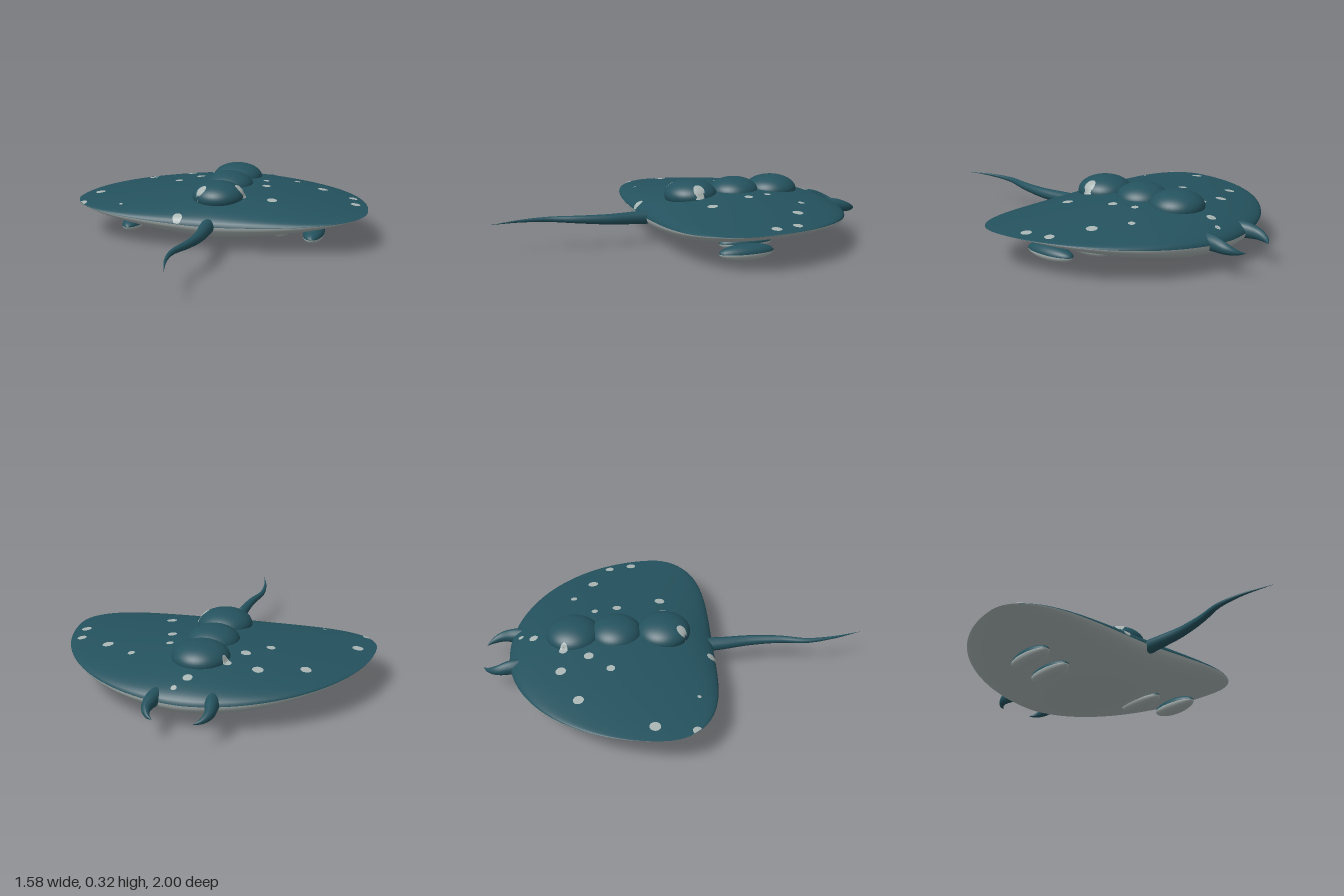
import * as THREE from 'three';

const teal = new THREE.MeshStandardMaterial({ color: 0x24525e, name: 'teal skin' });
const pale = new THREE.MeshStandardMaterial({ color: 0xa9b5b3, name: 'pale grey' });

const SPAN = 0.79;
const BUMPS = [[-0.06, 0.14], [-0.31, 0.135], [-0.53, 0.14]]; // z, radius
const BUMP_Y = 0.245, BUMP_H = 0.078;

// Cross-section of the disc at a given x: half an ellipse above and below the rim
function section(x) {
  const u = Math.min(Math.abs(x) / SPAN, 0.9999);
  const front = -0.09 + 0.29 * Math.sqrt(1 - u ** 4);
  const back = -0.09 - 0.78 * Math.sqrt(1 - u * u);
  return {
    mid: (front + back) / 2,
    half: (front - back) / 2,
    rim: 0.14 + 0.05 * u ** 1.4,
    up: 0.125 * (1 - u ** 1.3),
    down: 0.135 * (1 - u ** 1.7),
  };
}

function shell(top) {
  const geo = new THREE.PlaneGeometry(1, 1, 72, 36);
  const pos = geo.attributes.position, uv = geo.attributes.uv;
  for (let i = 0; i < pos.count; i++) {
    const x = SPAN * Math.sin((uv.getX(i) - 0.5) * Math.PI);
    const s = section(x);
    const a = Math.PI * (top ? uv.getY(i) : 1 - uv.getY(i));
    const h = top ? s.up : -s.down;
    pos.setXYZ(i, x, s.rim + h * Math.sin(a), s.mid + s.half * Math.cos(a));
  }
  geo.computeVertexNormals();
  return geo;
}

// Height of the upper skin, including the bumps
function skinHeight(x, z) {
  const s = section(x);
  const t = (z - s.mid) / s.half;
  let y = s.rim + s.up * Math.sqrt(Math.max(0, 1 - t * t));
  for (const [bz, r] of BUMPS) {
    const d = (x * x + (z - bz) ** 2) / (r * r);
    if (d < 1) y = Math.max(y, BUMP_Y + BUMP_H * Math.sqrt(1 - d));
  }
  return y;
}

// Thin disc laid onto the skin
function spot(x, z, r) {
  const geo = new THREE.RingGeometry(0.0005, r, 14, 5);
  geo.rotateX(-Math.PI / 2);
  const pos = geo.attributes.position;
  for (let i = 0; i < pos.count; i++) {
    const px = Math.max(-SPAN, Math.min(SPAN, x + pos.getX(i)));
    const s = section(px);
    const pz = Math.max(s.mid - s.half, Math.min(s.mid + s.half, z + pos.getZ(i)));
    pos.setXYZ(i, px, skinHeight(px, pz) + 0.003, pz);
  }
  geo.computeVertexNormals();
  return geo;
}

// Tube along a curve whose radius shrinks from base to tip
function taper(points, radius, power, flat = 1) {
  const curve = new THREE.CatmullRomCurve3(points.map(p => new THREE.Vector3(...p)));
  const rows = 32, sides = 14;
  const geo = new THREE.TubeGeometry(curve, rows, radius, sides, false);
  const pos = geo.attributes.position;
  const v = new THREE.Vector3();
  for (let i = 0; i < pos.count; i++) {
    const t = Math.floor(i / (sides + 1)) / rows;
    const c = curve.getPointAt(t);
    v.fromBufferAttribute(pos, i).sub(c).multiplyScalar(Math.max(0.02, 1 - t ** power));
    v.x *= flat;
    v.add(c);
    pos.setXYZ(i, v.x, v.y, v.z);
  }
  geo.computeVertexNormals();
  return geo;
}

export function createModel() {
  const model = new THREE.Group();
  model.name = 'ray';
  const add = (name, geo, mat, parent = model) => {
    const mesh = new THREE.Mesh(geo, mat);
    mesh.name = name;
    parent.add(mesh);
    return mesh;
  };

  // Disc body
  add('back', shell(true), teal);
  add('belly', shell(false), pale);

  // Row of bumps along the back
  for (const [z, r] of BUMPS) {
    const bump = add('bump', new THREE.SphereGeometry(1, 40, 24), teal);
    bump.position.set(0, BUMP_Y, z);
    bump.scale.set(r, BUMP_H, r);
  }

  // Tail
  add('tail', taper([[0, 0.14, 0.12], [0.005, 0.142, 0.25], [0.014, 0.148, 0.4], [0, 0.157, 0.56],
    [-0.03, 0.163, 0.7], [-0.02, 0.168, 0.84], [0.02, 0.17, 1]], 0.04, 1.0), teal);

  for (const side of [-1, 1]) {
    // Curved horns
    add('horn', taper([[0.13, 0.15, -0.8], [0.14, 0.15, -0.86], [0.145, 0.14, -0.92],
      [0.125, 0.128, -0.97], [0.093, 0.122, -1]].map(([x, y, z]) => [x * side, y, z]), 0.043, 1.7, 0.85), teal);

    // Floats under the wings, dark above and pale below
    for (const [x, z] of [[0.505, -0.155], [0.32, -0.235]]) {
      const float = new THREE.Group();
      float.name = 'float';
      float.position.set(x * side, 0.044, z);
      float.scale.set(0.056, 0.041, 0.145);
      add('floatTop', new THREE.SphereGeometry(1, 28, 10, 0, Math.PI * 2, 0, Math.PI / 2), teal, float);
      add('floatBottom', new THREE.SphereGeometry(1, 28, 10, 0, Math.PI * 2, Math.PI / 2, Math.PI / 2), pale, float);
      model.add(float);
    }
  }

  // Scattered spots: x, z, radius
  const spots = [
    [-0.5, -0.5, 0.027], [-0.29, -0.59, 0.027], [-0.2, -0.45, 0.025], [-0.3, -0.34, 0.022],
    [-0.14, -0.58, 0.022], [0.005, -0.74, 0.023], [0.05, -0.81, 0.014], [0.35, -0.535, 0.018],
    [0.19, -0.42, 0.018], [0.215, -0.3, 0.023], [0.51, -0.43, 0.028], [0.69, -0.335, 0.024],
    [0.715, -0.21, 0.026], [0.29, -0.065, 0.027], [0.12, -0.06, 0.03], [-0.07, 0.03, 0.026],
    [-0.16, 0.18, 0.025], [-0.73, 0.06, 0.026], [-0.7, -0.14, 0.028], [-0.5, 0.085, 0.01],
  ];
  for (const [x, z, r] of spots) add('spot', spot(x, z, r), pale);

  return model;
}
